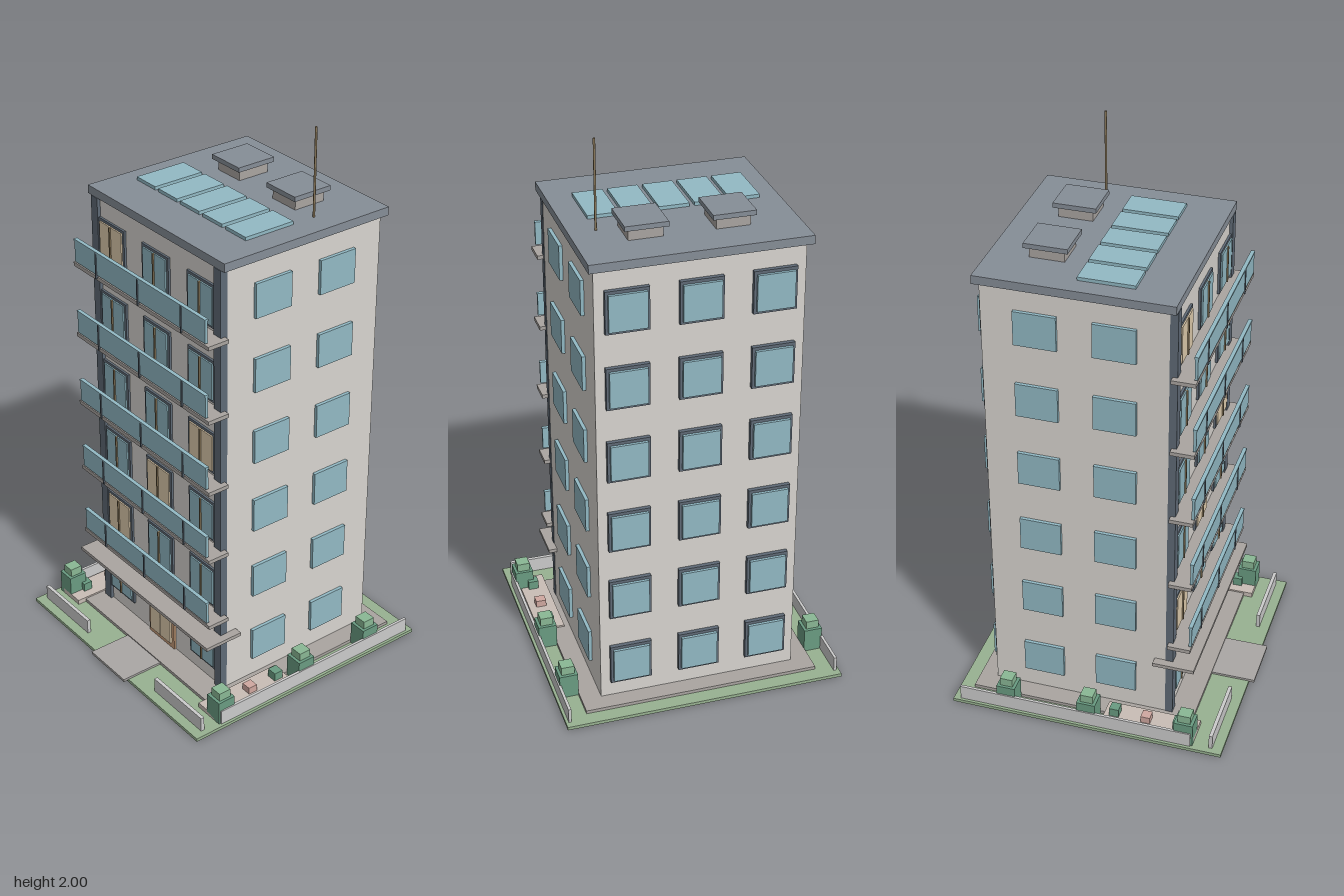
import * as THREE from 'three';

const C = {
  wall: 0xd8d5d0, glass: 0x92b9c4, lit: 0xe0cdae, roof: 0x868e97, dark: 0x5f6a76, slab: 0xaaa5a1,
  grass: 0x98b291, path: 0xaaa7a5, fence: 0xdcdcd8, terrace: 0xc9beb6, wood: 0xc49a78,
  shrub: 0x6a9c82, leaf: 0x8ab895, pink: 0xd0a8a0, mast: 0x8c7a5c,
};
const FLOORS = 6, PITCH = 0.271;

export function createModel() {
  const model = new THREE.Group();
  const mats = {};
  const mat = (c) => (mats[c] ??= new THREE.MeshStandardMaterial({ color: C[c] }));

  // Box given by its extents on each axis
  function box(name, c, [x0, x1], [y0, y1], [z0, z1], parent = model) {
    const m = new THREE.Mesh(new THREE.BoxGeometry(x1 - x0, y1 - y0, z1 - z0), mat(c));
    m.position.set((x0 + x1) / 2, (y0 + y1) / 2, (z0 + z1) / 2);
    m.name = name;
    parent.add(m);
    return m;
  }
  const around = (c, w) => [c - w / 2, c + w / 2];
  function group(name) {
    const g = new THREE.Group();
    g.name = name;
    model.add(g);
    return g;
  }

  // Plot
  box('lawn', 'grass', [-0.5, 0.5], [0, 0.012], [-0.505, 0.483]);
  box('plinth', 'slab', [-0.42, 0.42], [0.012, 0.024], [-0.453, 0.345]);
  box('entrancePath', 'path', [-0.1, 0.1], [0.01, 0.02], [0.345, 0.503]);

  // Garden on both sides: walls, terrace, shrubs and seats
  const garden = group('garden');
  for (const s of [-1, 1]) {
    const span = (a, b) => (s > 0 ? [a, b] : [-b, -a]);
    box('sideWall', 'fence', span(0.48, 0.49), [0.012, 0.066], [-0.48, 0.37], garden);
    box('frontWall', 'fence', span(0.207, 0.477), [0.012, 0.066], [0.434, 0.447], garden);
    box('terrace', 'terrace', span(0.37, 0.467), [0.012, 0.03], [0.04, 0.377], garden);
    for (const z of [-0.31, -0.012, 0.343]) {
      box('shrubBase', 'shrub', around(s * 0.452, 0.066), [0.012, 0.1], around(z, 0.068), garden);
      box('shrubTop', 'leaf', around(s * 0.452, 0.046), [0.1, 0.13], around(z, 0.046), garden);
    }
    for (const z of [0.078, 0.31])
      box('smallPlant', 'shrub', around(s * 0.422, 0.037), [0.03, 0.062], around(z, 0.034), garden);
    box('seat', 'pink', around(s * 0.422, 0.037), [0.03, 0.055], around(0.193, 0.034), garden);
  }

  // Tower body with corner pilasters and roof slab
  box('tower', 'wall', [-0.35, 0.35], [0.02, 1.66], [-0.39, 0.255]);
  for (const s of [-1, 1])
    box('cornerPilaster', 'dark', around(s * 0.334, 0.036), [0.024, 1.66], [0.24, 0.267]);
  box('roofSlab', 'roof', [-0.37, 0.368], [1.66, 1.69], [-0.408, 0.265]);

  // Front windows: framed pair of panes; some rooms are lit
  const isLit = { '5,-1': 1, '1,-1': 1, '3,1': 1, '2,0': 1 };
  function frontWindow(i, col, parent) {
    const x = col * 0.244, y = 0.16 + i * PITCH;
    const lit = isLit[`${i},${col}`];
    box('windowFrame', 'dark', around(x, 0.146), around(y, 0.154), [0.25, 0.263], parent);
    for (const s of [-1, 1])
      box('pane', lit ? 'lit' : 'glass', around(x + s * 0.032, 0.06), around(y, 0.134), [0.255, 0.268], parent);
    box('handle', 'mast', around(x, 0.006), around(y, 0.134), [0.26, 0.273], parent);
  }

  const windows = group('windows');
  for (let i = 0; i < FLOORS; i++) {
    const y = 0.16 + i * PITCH;
    for (const col of [-1, 0, 1]) {
      if (i > 0 || col) frontWindow(i, col, windows);
      // Back windows
      box('backFrame', 'dark', around(col * 0.244, 0.146), around(y, 0.15), [-0.405, -0.385], windows);
      box('backPane', 'glass', around(col * 0.244, 0.128), around(y, 0.128), [-0.415, -0.39], windows);
    }
    // Side windows
    for (const s of [-1, 1])
      for (const z of [0.06, -0.205])
        box('sideWindow', 'glass', around(s * 0.352, 0.02), around(y, 0.124), around(z, 0.146), windows);
  }

  // Entrance door and canopy
  const entrance = group('entrance');
  box('doorFrame', 'wood', [-0.075, 0.075], [0.024, 0.235], [0.25, 0.263], entrance);
  for (const s of [-1, 1])
    box('doorLeaf', 'lit', around(s * 0.031, 0.058), [0.045, 0.222], [0.255, 0.27], entrance);
  box('canopy', 'slab', [-0.38, 0.38], [0.244, 0.257], [0.2, 0.348]);

  // Balconies: slab, glass front, top rail and posts
  const balconies = group('balconies');
  for (let i = 1; i < FLOORS; i++) {
    const y = 0.062 + i * PITCH;
    box('balconySlab', 'slab', [-0.373, 0.373], around(y, 0.014), [0.25, 0.332], balconies);
    box('balconyGlass', 'glass', [-0.36, 0.36], [y + 0.014, y + 0.096], [0.324, 0.334], balconies);
    box('topRail', 'glass', [-0.361, 0.361], [y + 0.092, y + 0.099], [0.322, 0.336], balconies);
    for (const x of [-0.235, 0, 0.235])
      box('railPost', 'dark', around(x, 0.006), [y, y + 0.096], [0.322, 0.337], balconies);
  }

  // Roof equipment
  const roof = group('roofEquipment');
  for (let i = -2; i <= 2; i++)
    box('solarPanel', 'glass', around(-0.01 + i * 0.12, 0.103), [1.69, 1.702], [-0.079, 0.114], roof);
  for (const x of [-0.145, 0.145]) {
    box('ventBase', 'slab', around(x, 0.115), [1.69, 1.728], around(-0.212, 0.12), roof);
    box('ventCap', 'roof', around(x, 0.145), [1.728, 1.745], around(-0.212, 0.15), roof);
  }
  const mast = new THREE.Mesh(new THREE.CylinderGeometry(0.004, 0.004, 0.31, 8), mat('mast'));
  mast.position.set(0.278, 1.845, -0.167);
  mast.name = 'antenna';
  roof.add(mast);

  return model;
}
